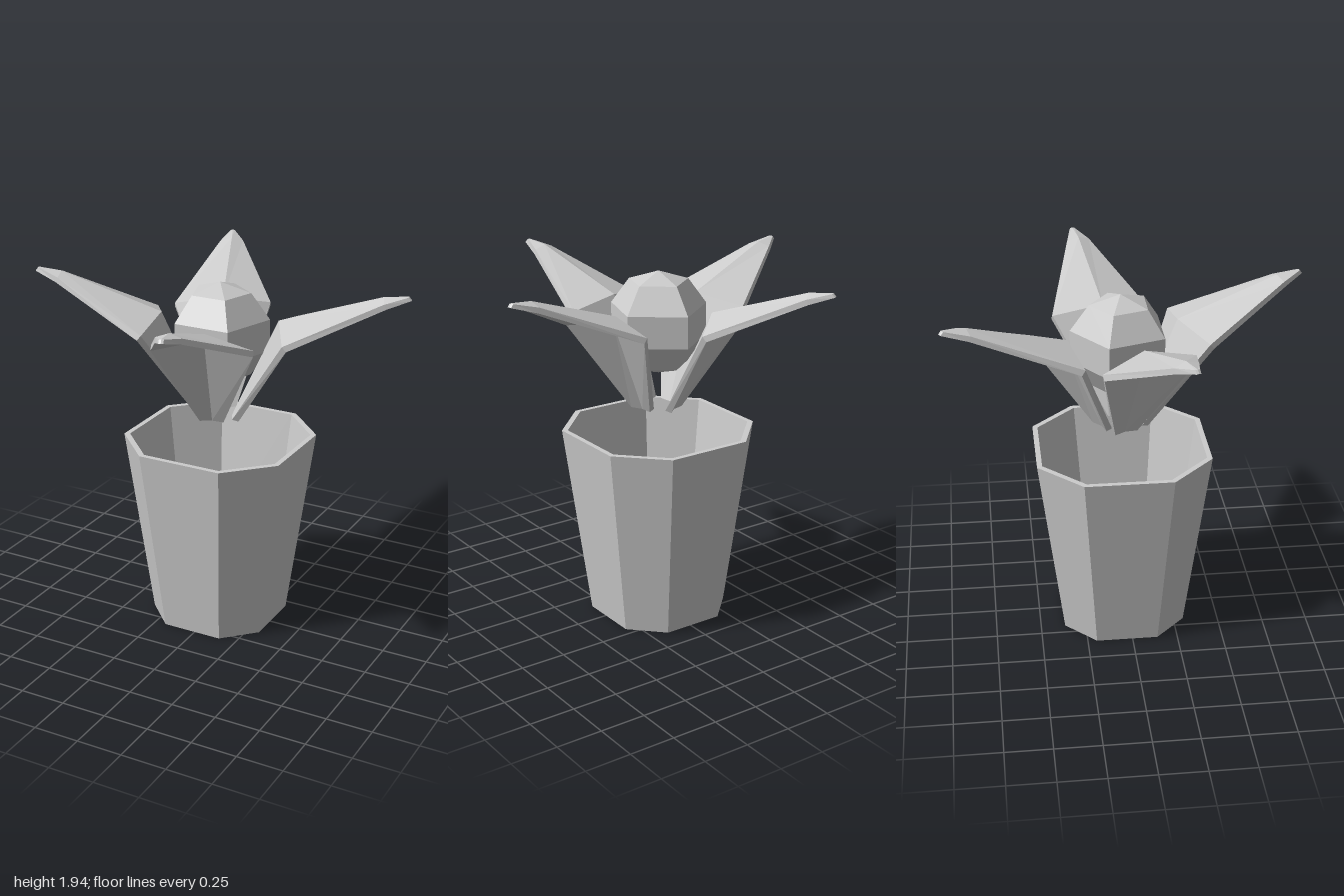
import * as THREE from 'three';

const material = new THREE.MeshStandardMaterial({ color: 0xcccccc, flatShading: true });

// Skin a list of equal-length rings of [x, y, z] points and cap both ends.
function loft(rings) {
  const positions = [];
  const tri = (a, b, c) => positions.push(...a, ...b, ...c);
  const n = rings[0].length;
  for (let r = 0; r < rings.length - 1; r++) {
    const a = rings[r], b = rings[r + 1];
    for (let i = 0; i < n; i++) {
      const j = (i + 1) % n;
      tri(a[i], a[j], b[j]);
      tri(a[i], b[j], b[i]);
    }
  }
  // Strip caps also stay clean on the bent leaf sections.
  const first = rings[0], last = rings[rings.length - 1];
  for (let i = 0, k = n - 1; k - i > 1; i++, k--) {
    for (const [ring, flip] of [[first, true], [last, false]]) {
      const quad = [ring[i], ring[i + 1], ring[k - 1], ring[k]];
      if (flip) quad.reverse();
      tri(quad[0], quad[1], quad[2]);
      tri(quad[0], quad[2], quad[3]);
    }
  }
  const geometry = new THREE.BufferGeometry();
  geometry.setAttribute('position', new THREE.Float32BufferAttribute(positions, 3));
  geometry.computeVertexNormals();
  return geometry;
}

function part(name, geometry) {
  const mesh = new THREE.Mesh(geometry, material);
  mesh.name = name;
  return mesh;
}

// Square with cut corners: h is the half width, half of each side stays straight.
function potRing(h, y) {
  const k = h * 0.505;
  return [[h, k], [h, -k], [k, -h], [-k, -h], [-h, -k], [-h, k], [-k, h], [k, h]]
    .map(([x, z]) => [x, y, z]);
}

// Leaf cross-section: raised ridge in the middle, drooping edges, thin body.
function leafRing({ u, y, mid, half, ridgeU, ridgeY, du, dy }) {
  const edge = (s, o) => [u + o * du, y + o * dy, mid + s * half];
  const ridge = (o) => [ridgeU + o * du, ridgeY + o * dy, mid];
  return [edge(-1, 1), ridge(1), edge(1, 1), edge(1, 0), ridge(0), edge(-1, 0)];
}

export function createModel() {
  const model = new THREE.Group();
  model.name = 'pottedPlant';

  // Tapered hollow pot
  const pot = part('pot', loft([
    potRing(0.335, 0), potRing(0.468, 1.065), potRing(0.44, 1.065), potRing(0.345, 0.3),
  ]));
  model.add(pot);

  // Faceted bud
  const bud = part('bud', new THREE.SphereGeometry(0.28, 5, 5));
  bud.position.y = 1.65;
  bud.rotation.y = -Math.PI / 2;
  model.add(bud);

  // Leaves: base, bend, shoulder and tip sections
  const leafGeometry = loft([
    { u: 0.12, y: 1.185, mid: 0.025, half: 0.065, ridgeU: 0.105, ridgeY: 1.185, du: -0.035, dy: 0.008 },
    { u: 0.405, y: 1.668, mid: 0.022, half: 0.265, ridgeU: 0.34, ridgeY: 1.72, du: -0.022, dy: 0.026 },
    { u: 0.89, y: 1.885, mid: 0.085, half: 0.065, ridgeU: 0.88, ridgeY: 1.905, du: -0.012, dy: 0.026 },
    { u: 1.01, y: 1.925, mid: 0.093, half: 0.012, ridgeU: 1.012, ridgeY: 1.927, du: -0.015, dy: 0.017 },
  ].map(leafRing));
  const names = ['leftLeaf', 'frontLeaf', 'rightLeaf', 'backLeaf'];
  [0, 88, 175.2, 256.3].forEach((angle, i) => {
    const leaf = part(names[i], leafGeometry);
    leaf.rotation.y = -THREE.MathUtils.degToRad(angle - 15.4);
    model.add(leaf);
  });

  // The pot axis sits slightly off the centre because the leaves are uneven.
  for (const child of model.children) {
    child.position.x = -0.017;
    child.position.z = -0.03;
  }
  return model;
}
